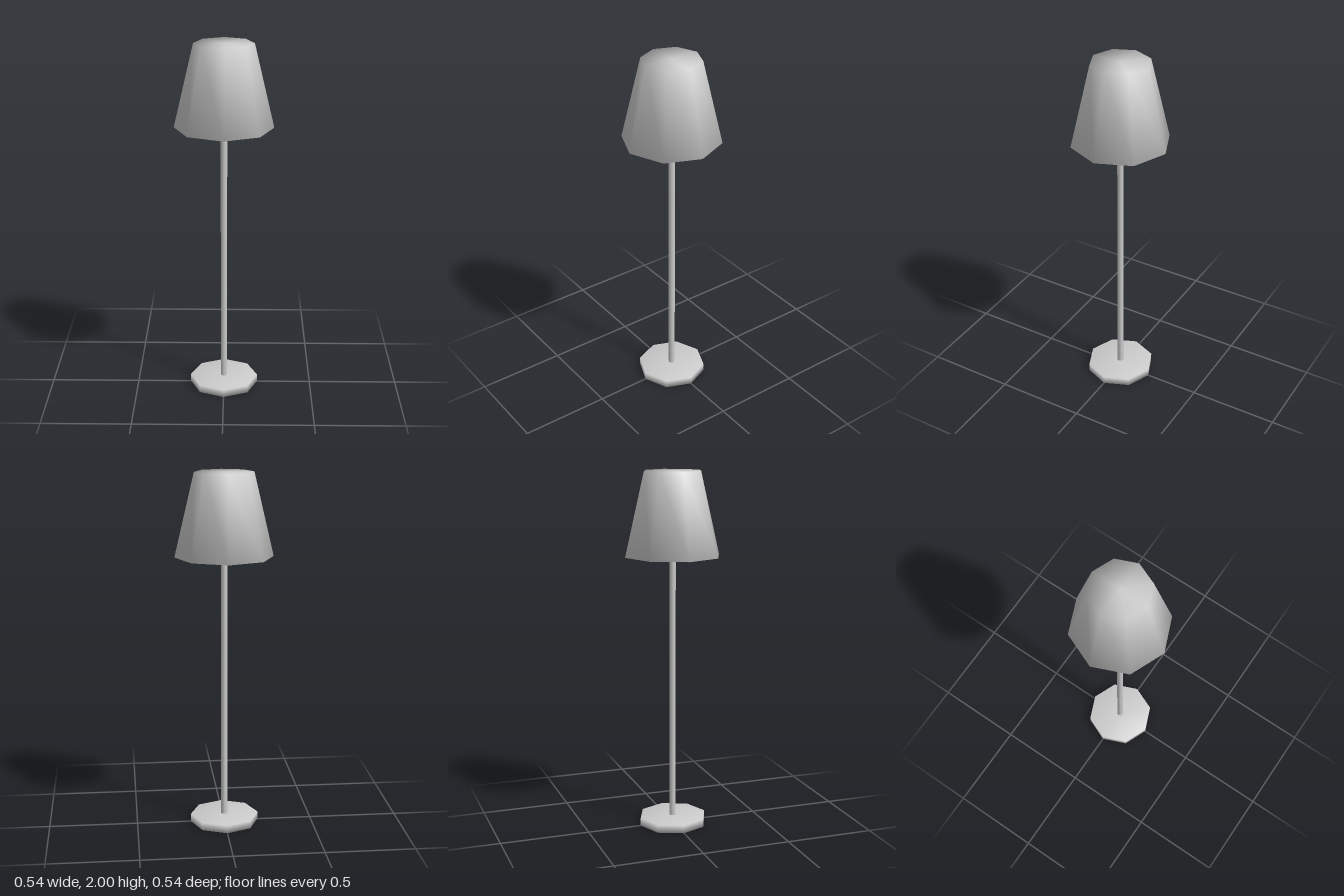
import * as THREE from 'three';

const SIDES = 8;
const POLE_RADIUS = 0.018;
const BASE_TOP = 0.045;
const SHADE_BOTTOM = 1.54;

const material = new THREE.MeshStandardMaterial({ color: 0xcccccc });

// Eight-sided turned part from [radius, height] pairs, bottom to top, smooth over its edges
function turned(name, profile) {
  const points = profile.map(([r, y]) => new THREE.Vector2(r, y));
  const mesh = new THREE.Mesh(new THREE.LatheGeometry(points, SIDES), material);
  mesh.name = name;
  return mesh;
}

export function createModel() {
  const lamp = new THREE.Group();
  lamp.name = 'floorLamp';

  lamp.add(
    // Flat foot, closed below and running in to the pole
    turned('base', [[0, 0], [0.193, 0], [0.193, BASE_TOP], [POLE_RADIUS, BASE_TOP]]),
    // Thin upright
    turned('pole', [[POLE_RADIUS, BASE_TOP], [POLE_RADIUS, SHADE_BOTTOM]]),
    // Tapered shade, closed at both ends
    turned('shade', [[POLE_RADIUS, SHADE_BOTTOM], [0.272, SHADE_BOTTOM], [0.163, 2], [0, 2]])
  );
  return lamp;
}
